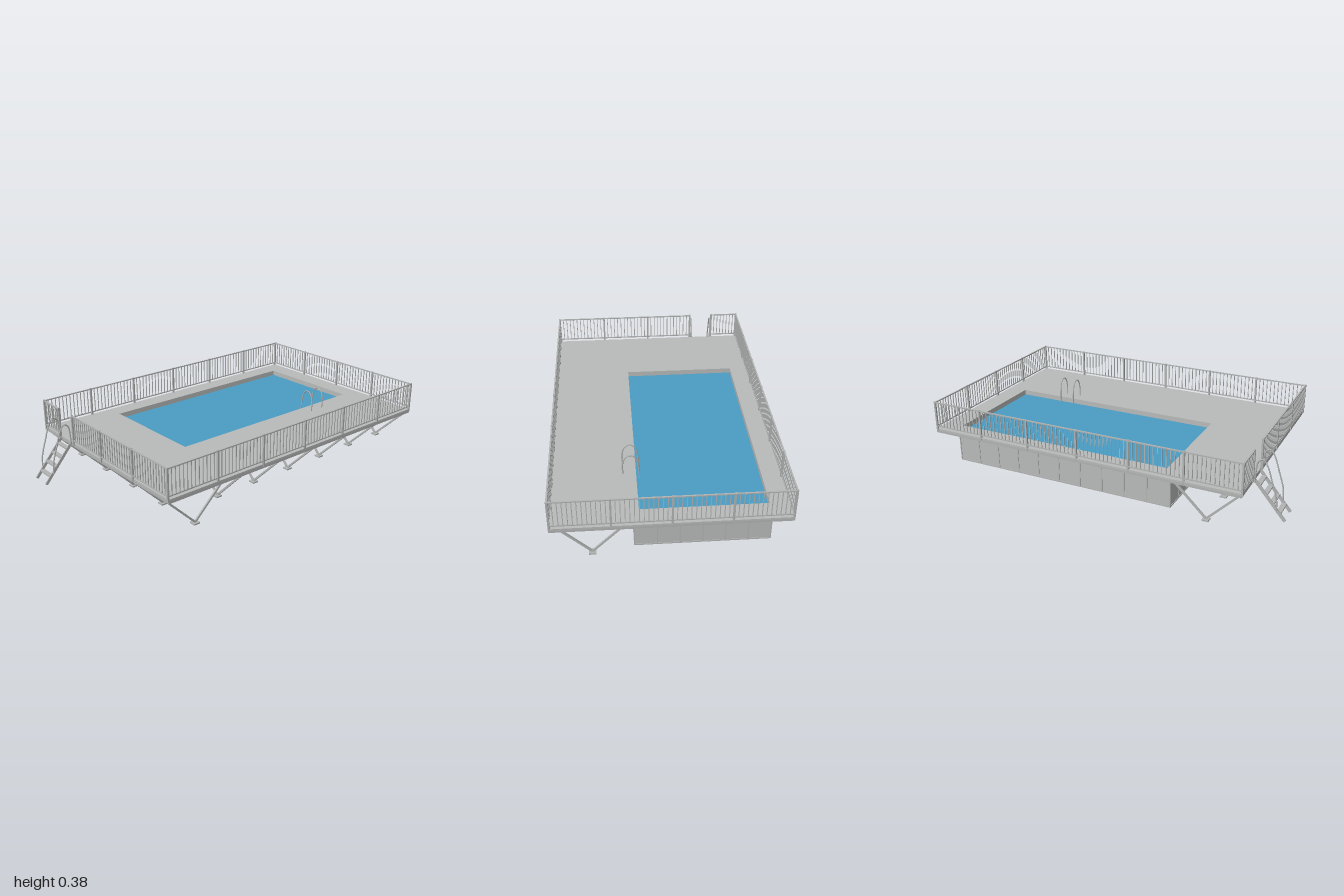
import * as THREE from 'three';

const mat = (name, color) => Object.assign(new THREE.MeshStandardMaterial({ color }), { name });

export function createModel() {
  const model = new THREE.Group();
  model.name = 'raisedPool';
  const deckGrey = mat('deckGrey', 0xb9bbba);
  const steel = mat('steelGrey', 0xb2b4b3);
  const waterBlue = mat('waterBlue', 0x4b9cc3);
  const floorBlue = mat('poolFloorBlue', 0x2f689c);

  const X = 0.587, ZB = -1.0, ZF = 0.82;                      // deck edges
  const TOP = 0.215, UNDER = 0.205;
  const pool = { x0: -0.5, x1: 0.18, z0: -0.91, z1: 0.415 };  // outer basin
  const hole = { x0: -0.485, x1: 0.155, z0: -0.89, z1: 0.39 };

  const group = (name, parent = model) => {
    const g = new THREE.Group();
    g.name = name;
    parent.add(g);
    return g;
  };
  // box given by its min and max corners
  const box = (parent, name, m, x0, x1, y0, y1, z0, z1) => {
    const mesh = new THREE.Mesh(new THREE.BoxGeometry(x1 - x0, y1 - y0, z1 - z0), m);
    mesh.position.set((x0 + x1) / 2, (y0 + y1) / 2, (z0 + z1) / 2);
    mesh.name = name;
    parent.add(mesh);
    return mesh;
  };
  // square bar between two points
  const bar = (parent, name, a, b, w, h = w) => {
    const p = new THREE.Vector3(...a), q = new THREE.Vector3(...b);
    const mesh = new THREE.Mesh(new THREE.BoxGeometry(w, h, p.distanceTo(q)), steel);
    mesh.position.copy(p).lerp(q, 0.5);
    mesh.lookAt(q);
    mesh.name = name;
    parent.add(mesh);
    return mesh;
  };
  const pipe = (parent, name, pts, r = 0.004) => {
    const curve = new THREE.CatmullRomCurve3(pts.map(p => new THREE.Vector3(...p)));
    const mesh = new THREE.Mesh(new THREE.TubeGeometry(curve, 40, r, 8), steel);
    mesh.name = name;
    parent.add(mesh);
  };

  // deck slab with the pool opening
  const outline = new THREE.Shape([[-X, ZB], [X, ZB], [X, ZF], [-X, ZF]].map(p => new THREE.Vector2(...p)));
  outline.holes.push(new THREE.Path([[hole.x0, hole.z0], [hole.x0, hole.z1], [hole.x1, hole.z1], [hole.x1, hole.z0]]
    .map(p => new THREE.Vector2(...p))));
  const slab = new THREE.ExtrudeGeometry(outline, { depth: TOP - UNDER, bevelEnabled: false });
  slab.rotateX(Math.PI / 2).translate(0, TOP, 0);
  const deck = new THREE.Mesh(slab, deckGrey);
  deck.name = 'deck';
  model.add(deck);

  // edge beams and joists below the deck
  const frame = group('deckFrame');
  const yb = 0.192;
  box(frame, 'frontBeam', steel, -X, X, yb, UNDER, ZF - 0.012, ZF);
  box(frame, 'backBeam', steel, -X, X, yb, UNDER, ZB, ZB + 0.012);
  for (const s of [-1, 1])
    box(frame, 'sideBeam', steel, s * X - (s > 0 ? 0.012 : 0), s * X + (s < 0 ? 0.012 : 0), yb, UNDER, ZB + 0.012, ZF - 0.012);
  const sideZ = [0.36, 0.1, -0.162, -0.424, -0.685, -0.945];
  const frontX = [-0.538, -0.269, 0, 0.268, 0.536];
  for (let i = 0; i < 11; i++) {
    const z = 0.36 - i * 0.1305;
    box(frame, 'sideJoist', steel, pool.x1, X - 0.012, yb, UNDER, z - 0.007, z + 0.007);
  }
  for (let i = 0; i < 9; i++) {
    const x = -0.538 + i * 0.1343;
    box(frame, 'frontJoist', steel, x - 0.007, x + 0.007, yb, UNDER, pool.z1, ZF - 0.012);
  }

  // V-shaped supports with feet along the front and the model's left side
  const supports = group('supports');
  const foot = (x, z) => box(supports, 'foot', steel, x - 0.018, x + 0.018, 0, 0.008, z - 0.018, z + 0.018);
  for (const x of frontX) {
    bar(supports, 'frontBrace', [x, 0.195, 0.815], [x, 0.008, 0.628], 0.01);
    bar(supports, 'frontBrace', [x, 0.195, 0.432], [x, 0.008, 0.628], 0.01);
    foot(x, 0.628);
  }
  for (const z of sideZ) {
    bar(supports, 'sideBrace', [0.58, 0.196, z], [0.388, 0.008, z], 0.01);
    bar(supports, 'sideBrace', [0.202, 0.196, z], [0.388, 0.008, z], 0.01);
    foot(0.388, z);
    // short bracket under the narrow overhang
    bar(supports, 'overhangBracket', [-0.54, 0.196, z], [pool.x0, 0.163, z], 0.007);
  }
  for (const x of frontX.slice(1, 3))
    bar(supports, 'overhangBracket', [x, 0.196, -0.947], [x, 0.163, pool.z0], 0.007);

  // pool basin: panelled walls, floor and water
  const basin = group('poolBasin');
  box(basin, 'backWall', deckGrey, pool.x0, pool.x1, 0.004, UNDER, pool.z0, hole.z0);
  box(basin, 'frontWall', deckGrey, pool.x0, pool.x1, 0.004, UNDER, hole.z1, pool.z1);
  box(basin, 'rightWall', deckGrey, pool.x0, hole.x0, 0.004, UNDER, hole.z0, hole.z1);
  box(basin, 'leftWall', deckGrey, hole.x1, pool.x1, 0.004, UNDER, hole.z0, hole.z1);
  box(basin, 'poolFloor', floorBlue, pool.x0 + 0.003, pool.x1 - 0.003, 0.002, 0.008, pool.z0 + 0.003, pool.z1 - 0.003);
  box(basin, 'water', waterBlue, hole.x0, hole.x1, 0.18, 0.185, hole.z0, hole.z1);
  const t = 0.003;
  for (let i = 0; i <= 6; i++) {
    const x = pool.x0 + (pool.x1 - pool.x0) * i / 6;
    for (const z of [pool.z0, pool.z1]) box(basin, 'panelRib', steel, x - t, x + t, 0.004, 0.192, z - t, z + t);
  }
  for (let i = 1; i < 10; i++) {
    const z = pool.z0 + (pool.z1 - pool.z0) * i / 10;
    for (const x of [pool.x0, pool.x1]) box(basin, 'panelRib', steel, x - t, x + t, 0.004, 0.192, z - t, z + t);
  }
  for (const z of [pool.z0, pool.z1]) box(basin, 'baseRail', steel, pool.x0 - t, pool.x1 + t, 0, 0.007, z - t, z + t);
  for (const x of [pool.x0, pool.x1]) box(basin, 'baseRail', steel, x - t, x + t, 0, 0.007, pool.z0, pool.z1);

  // railing: posts, two rails and thin balusters
  const railing = group('railing');
  const railRun = (x0, z0, x1, z1, sections, perSection) => {
    const at = (f, y) => [x0 + (x1 - x0) * f, y, z0 + (z1 - z0) * f];
    bar(railing, 'topRail', at(0, 0.374), at(1, 0.374), 0.008, 0.006);
    bar(railing, 'bottomRail', at(0, 0.231), at(1, 0.231), 0.006, 0.006);
    const n = sections * perSection;
    for (let i = 0; i <= n; i++) {
      const [x, , z] = at(i / n, 0);
      const post = i % perSection === 0, r = post ? 0.005 : 0.002;
      box(railing, post ? 'post' : 'baluster', steel, x - r, x + r, post ? 0.2 : 0.231, post ? 0.379 : 0.374, z - r, z + r);
    }
  };
  const rx = X - 0.004, zb = ZB + 0.005, zf = ZF + 0.001;
  railRun(-rx, zb, rx, zb, 4, 13);
  for (const s of [-1, 1]) railRun(s * rx, zb, s * rx, zf, 6, 13);
  railRun(-rx, zf, -0.418, zf, 1, 8);
  railRun(-0.275, zf, 0.005, zf, 1, 13);
  railRun(0.005, zf, rx, zf, 2, 13);

  // entry ladder in the gate opening
  const entry = group('entryLadder');
  const low = { y: 0.012, z: 0.994 }, high = { y: 0.208, z: 0.828 };
  for (const s of [-1, 1]) {
    const x = -0.35 + s * 0.053;
    bar(entry, 'stringer', [x, low.y, low.z], [x, high.y, high.z], 0.007, 0.016);
    const hx = -0.35 + s * 0.063;
    pipe(entry, 'handrail', [[hx, 0.065, 0.95], [hx, 0.13, 0.945], [hx, 0.22, 0.918], [hx, 0.3, 0.89],
      [hx, 0.331, 0.866], [hx, 0.315, 0.842], [hx, 0.26, 0.833], [hx, 0.2, 0.83]]);
    for (const [y, z] of [[0.07, 0.95], [0.21, 0.83]]) bar(entry, 'handrailMount', [x, y, z], [hx, y, z], 0.006);
  }
  for (const y of [0.052, 0.097, 0.141, 0.185]) {
    const z = low.z + (high.z - low.z) * (y - low.y) / (high.y - low.y);
    box(entry, 'tread', steel, -0.403, -0.297, y - 0.004, y + 0.004, z - 0.013, z + 0.013);
  }

  // pool ladder grab rails and submerged rungs
  const poolLadder = group('poolLadder');
  for (const z of [-0.613, -0.522])
    pipe(poolLadder, 'grabRail', [[0.222, 0.212, z], [0.224, 0.27, z], [0.212, 0.312, z], [0.184, 0.331, z],
      [0.156, 0.312, z], [0.142, 0.26, z], [0.138, 0.21, z], [0.138, 0.05, z]], 0.0035);
  for (const y of [0.06, 0.1, 0.14])
    box(poolLadder, 'rung', steel, 0.13, 0.146, y - 0.003, y + 0.003, -0.613, -0.522);

  return model;
}
